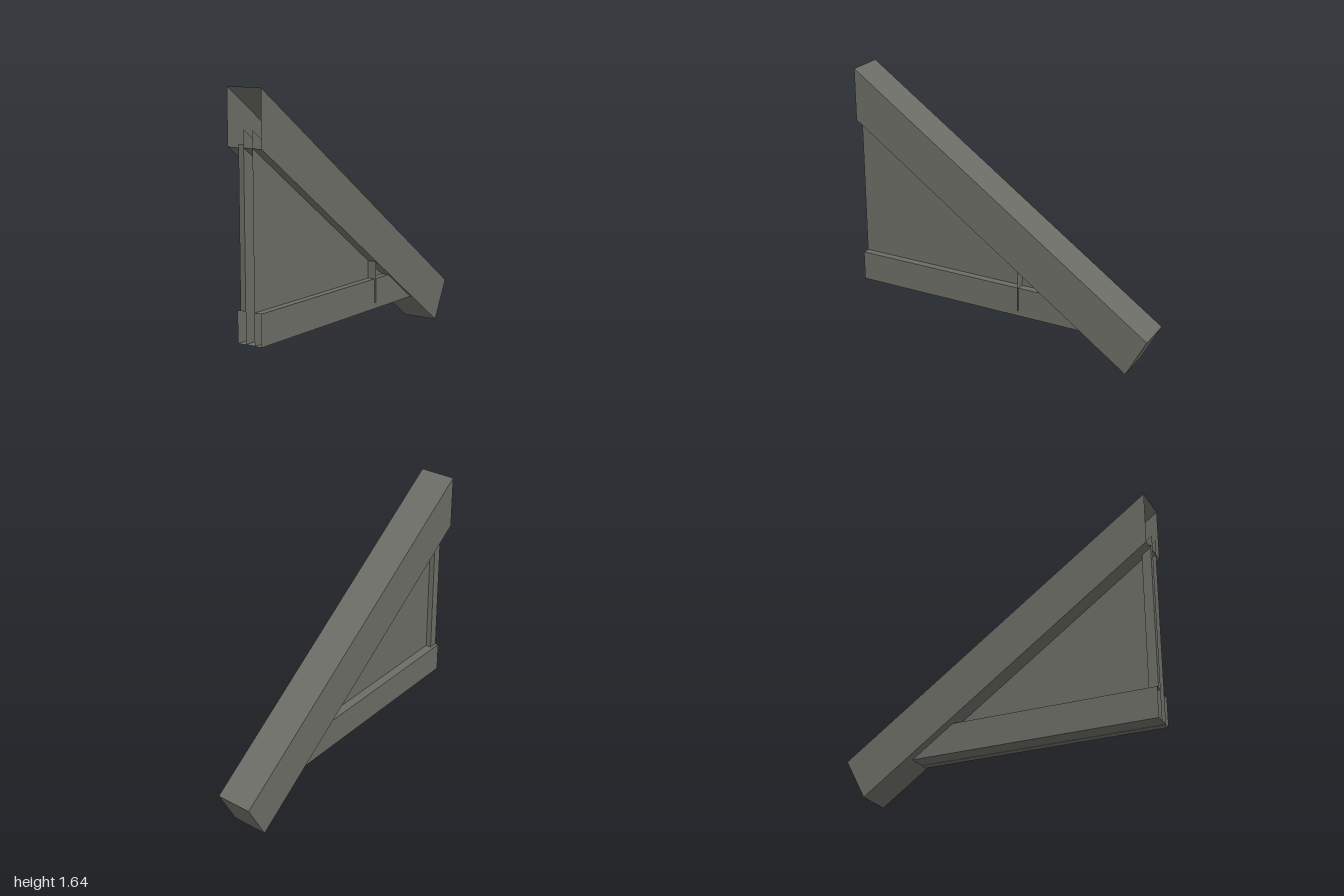
import * as THREE from 'three';

// Prism across x from a convex profile of [z, y] points, counter-clockwise seen from +x.
// Edge i runs from point i to i + 1; edges listed in "open" get no face.
function prism(x0, x1, profile, open = []) {
  const pos = [];
  const tri = (...corners) => corners.forEach((c) => pos.push(...c));
  const at = (x, i) => {
    const [z, y] = profile[i % profile.length];
    return [x, y, z];
  };
  for (let i = 1; i < profile.length - 1; i++) {
    tri(at(x1, 0), at(x1, i), at(x1, i + 1));
    tri(at(x0, 0), at(x0, i + 1), at(x0, i));
  }
  for (let i = 0; i < profile.length; i++) {
    if (open.includes(i)) continue;
    tri(at(x1, i), at(x0, i), at(x0, i + 1));
    tri(at(x1, i), at(x0, i + 1), at(x1, i + 1));
  }
  const geometry = new THREE.BufferGeometry();
  geometry.setAttribute('position', new THREE.Float32BufferAttribute(pos, 3));
  geometry.computeVertexNormals();
  return geometry;
}

export function createModel() {
  const group = new THREE.Group();
  const timber = new THREE.MeshStandardMaterial({ color: 0x6a6c64, side: THREE.DoubleSide });
  timber.name = 'greyTimber';

  const add = (name, geometry) => {
    const mesh = new THREE.Mesh(geometry, timber);
    mesh.name = name;
    group.add(mesh);
    return mesh;
  };

  // Height of the rafter's sloping underside at z
  const under = (z) => 0.61 + 0.7 * z;
  const zAt = (y) => (y - 0.61) / 0.7;

  // Hollow sloping rafter, open at its high front end
  add('rafter', prism(-0.117, 0.117, [[1, 1.31], [-0.87, 0], [-1, 0.246], [1, 1.64]], [3]));

  // Two bottom planks, one each side of the web, open at both ends
  const plank = [[1, 0.21], [zAt(0.21), 0.21], [zAt(0.4), 0.4], [1, 0.4]];
  add('rightPlank', prism(-0.063, -0.005, plank, [1, 3]));
  add('leftPlank', prism(0.056, 0.103, plank, [1, 3]));

  // Triangular web panel, its top edge tucked inside the rafter
  add('webPanel', prism(-0.005, 0.056, [[1, 0.212], [zAt(0.112), 0.212], [1, 1.41]], [1, 2]));

  // Slim upright post standing on the right plank
  add('frontPost', prism(-0.041, -0.005,
    [[1, 0.4], [0.942, 0.4], [0.942, under(0.942) + 0.02], [1, 1.33]]));

  // Thin cross plate beside the web
  const plate = add('crossPlate', new THREE.PlaneGeometry(0.06, 0.26));
  plate.position.set(0.086, 0.38, -0.14);

  return group;
}
